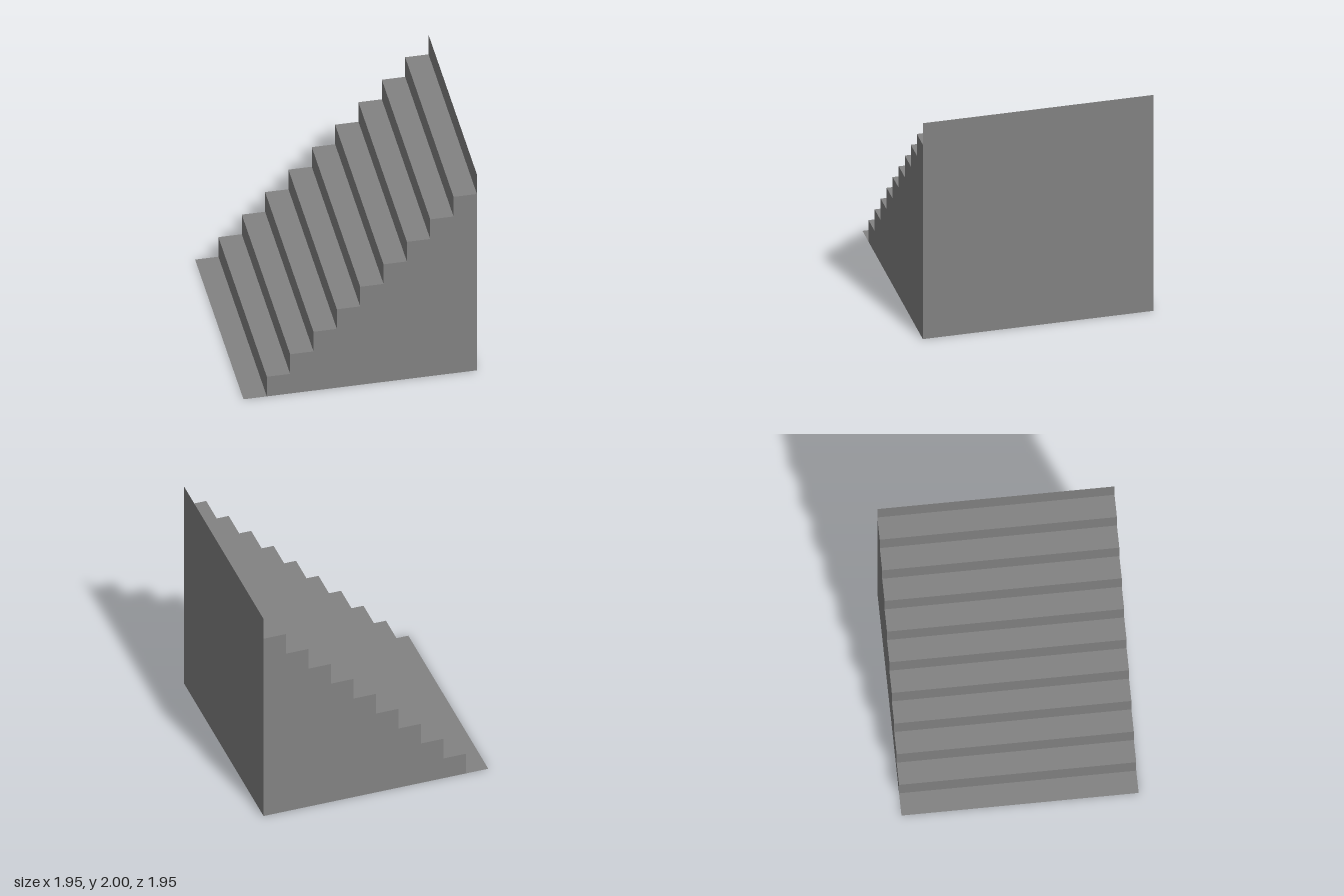
import * as THREE from 'three';

const STEPS = 10;
const HALF = 0.975;               // half the width and depth
const RUN = (2 * HALF) / STEPS;   // tread depth
const RISE = 0.2;                 // riser height

export function createModel() {
  const group = new THREE.Group();
  group.name = 'staircase';
  const grey = new THREE.MeshStandardMaterial({ color: 0x828282, side: THREE.DoubleSide });
  grey.name = 'grey';

  const add = (name, geometry, x, y, z) => {
    const mesh = new THREE.Mesh(geometry, grey);
    mesh.name = name;
    mesh.position.set(x, y, z);
    group.add(mesh);
  };

  // Treads and risers: thin sheets climbing towards +x, the lowest tread on the ground
  const tread = new THREE.PlaneGeometry(RUN, 2 * HALF).rotateX(-Math.PI / 2);
  const riser = new THREE.PlaneGeometry(2 * HALF, RISE).rotateY(-Math.PI / 2);
  for (let i = 0; i < STEPS; i++) {
    const x = -HALF + i * RUN;
    add('tread', tread, x + RUN / 2, i * RISE, 0);
    if (i > 0) add('riser', riser, x, (i - 0.5) * RISE, 0);
  }

  // Tall end wall, whose top strip is also the last riser
  const height = STEPS * RISE;
  add('endWall', new THREE.PlaneGeometry(2 * HALF, height).rotateY(Math.PI / 2), HALF, height / 2, 0);

  // Stepped side walls; the underside stays open
  const outline = new THREE.Shape();
  outline.moveTo(HALF, 0);
  outline.lineTo(HALF, (STEPS - 1) * RISE);
  for (let i = STEPS - 1; i > 0; i--) {
    const x = -HALF + i * RUN;
    outline.lineTo(x, i * RISE);
    outline.lineTo(x, (i - 1) * RISE);
  }
  outline.closePath();
  const side = new THREE.ShapeGeometry(outline);
  add('frontSideWall', side, 0, 0, HALF);
  add('backSideWall', side, 0, 0, -HALF);

  return group;
}
